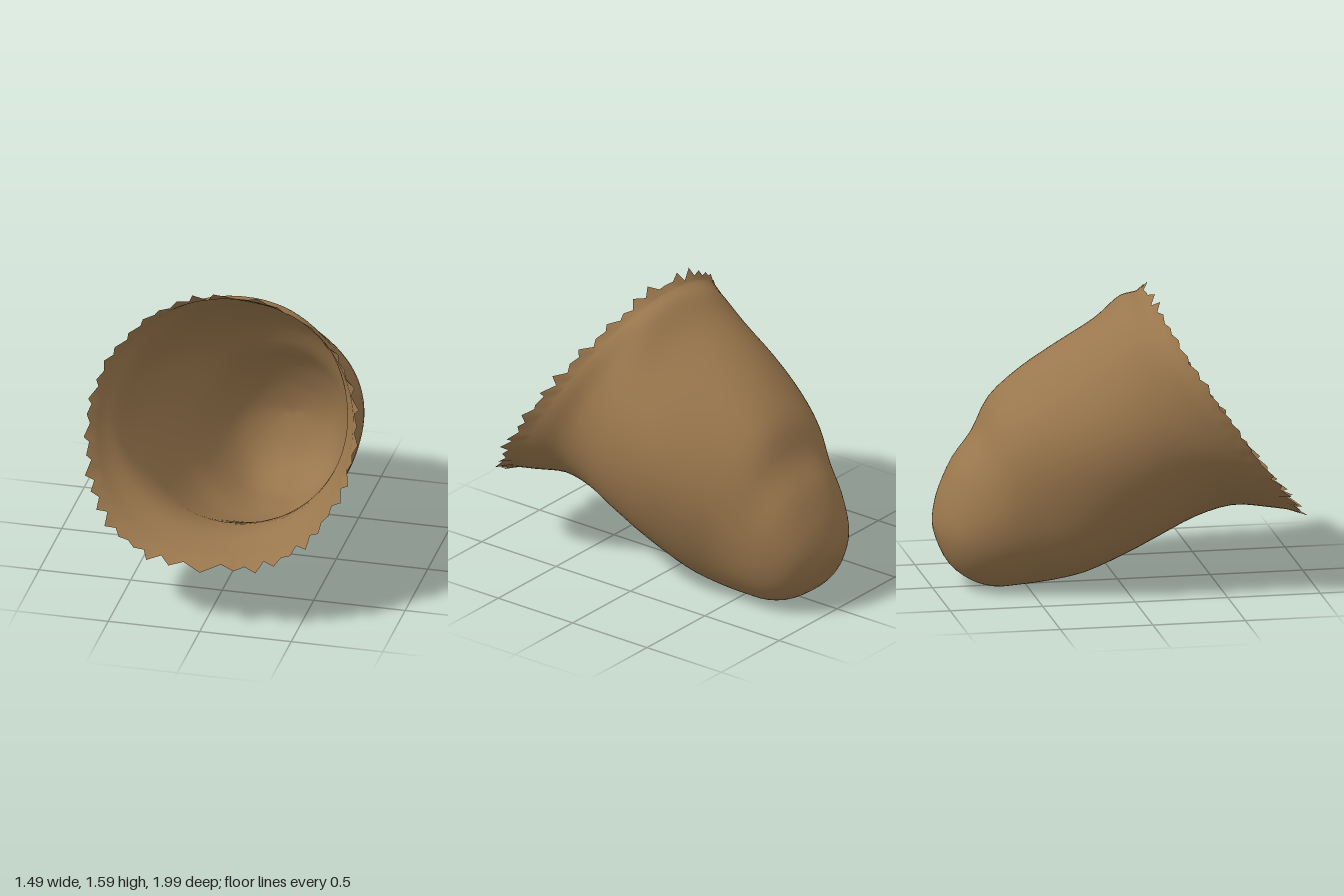
import * as THREE from 'three';

// Sections from mouth to closed end:
// top z, top y, bottom z, bottom y, half width, underside roundness (1 = elliptical)
const SECTIONS = [
  [0.14, 1.55, 0.94, 0.38, 0.712, 0.74],
  [0.10, 1.54, 0.78, 0.395, 0.675, 0.82],
  [0.05, 1.53, 0.60, 0.40, 0.622, 0.94],
  [0.00, 1.50, 0.40, 0.35, 0.605, 0.95],
  [-0.10, 1.42, 0.20, 0.26, 0.605, 0.94],
  [-0.30, 1.30, 0.00, 0.16, 0.58, 0.92],
  [-0.50, 1.17, -0.20, 0.065, 0.515, 0.90],
  [-0.67, 1.02, -0.37, 0.03, 0.44, 0.82],
  [-0.76, 0.84, -0.55, 0.015, 0.388, 0.77],
  [-0.87, 0.70, -0.68, 0.01, 0.335, 0.75],
  [-0.945, 0.55, -0.80, 0.045, 0.265, 0.76],
  [-0.975, 0.46, -0.905, 0.125, 0.175, 0.82],
  [-0.99, 0.39, -0.965, 0.24, 0.08, 0.92],
  [-0.995, 0.34, -0.995, 0.34, 0, 1],
];
const SIDES = 88;
const STEPS = 39;

function seeded(seed) {
  return () => {
    seed = (seed * 16807) % 2147483647;
    return seed / 2147483647;
  };
}

function buildShell() {
  const random = seeded(41);
  // each rail is sampled evenly by section number
  const rail = (toPoint) => new THREE.CatmullRomCurve3(SECTIONS.map(toPoint), false, 'catmullrom');
  const tops = rail((s) => new THREE.Vector3(0, s[1], s[0]));
  const bottoms = rail((s) => new THREE.Vector3(0, s[3], s[2]));
  const shapes = rail((s) => new THREE.Vector3(s[4], s[5], 0));

  const rings = [];
  for (let i = 0; i <= STEPS; i++) {
    const t = i / STEPS;
    const top = tops.getPoint(t);
    const bottom = bottoms.getPoint(t);
    const shape = shapes.getPoint(t);
    const centre = top.clone().add(bottom).multiplyScalar(0.5);
    const half = top.clone().sub(bottom).multiplyScalar(0.5);
    const fade = Math.sin(Math.PI * t);
    centre.x = 0.02 * fade + 0.02 * t * t;
    const ring = [];
    for (let j = 0; j < SIDES; j++) {
      const a = (j / SIDES) * Math.PI * 2;
      const c = Math.cos(a);
      const s = Math.sin(a);
      const across = Math.sign(s) * Math.pow(Math.abs(s), c < 0 ? shape.y : 0.96);
      // soft uneven dents
      const dent = 1 + fade * 0.012 * (Math.sin(3 * a + 9 * t) + Math.sin(5 * a - 14 * t + 1));
      const p = half.clone().multiplyScalar(c);
      p.x = across * shape.x;
      p.multiplyScalar(dent).add(centre);
      p.z -= 0.04 * s * s * (1 - t);
      ring.push(p);
    }
    rings.push(ring);
  }

  // ragged teeth along the flared lip
  const middle = new THREE.Vector3(0, 0.97, 0.54);
  rings[0].forEach((p, j) => {
    const out = p.clone().sub(rings[1][j]).normalize();
    out.addScaledVector(p.clone().sub(middle).normalize(), 0.6).normalize();
    const length = j % 2 ? random() * 0.015 : 0.025 + random() * 0.04;
    p.addScaledVector(out, length);
    p.y += (random() - 0.5) * 0.02;
  });

  const positions = rings.flat().flatMap((p) => [p.x, Math.max(0, p.y), p.z]);
  const index = [];
  for (let i = 0; i < STEPS; i++) {
    for (let j = 0; j < SIDES; j++) {
      const k = (j + 1) % SIDES;
      const a = i * SIDES + j;
      const b = i * SIDES + k;
      index.push(a, b, a + SIDES);
      if (i < STEPS - 1) index.push(b, b + SIDES, a + SIDES);
    }
  }
  const geometry = new THREE.BufferGeometry();
  geometry.setAttribute('position', new THREE.Float32BufferAttribute(positions, 3));
  geometry.setIndex(index);
  geometry.computeVertexNormals();
  // share one normal at the closed end
  const normal = geometry.attributes.normal;
  for (let j = 0; j < SIDES; j++) normal.setXYZ(STEPS * SIDES + j, 0, 0, -1);
  return geometry;
}

export function createModel() {
  const group = new THREE.Group();
  group.name = 'raggedPouch';
  const brown = new THREE.MeshStandardMaterial({ color: 0x9a774d, side: THREE.DoubleSide });
  brown.name = 'earthBrown';

  const shell = new THREE.Mesh(buildShell(), brown);
  shell.name = 'pouchShell';
  group.add(shell);
  return group;
}
